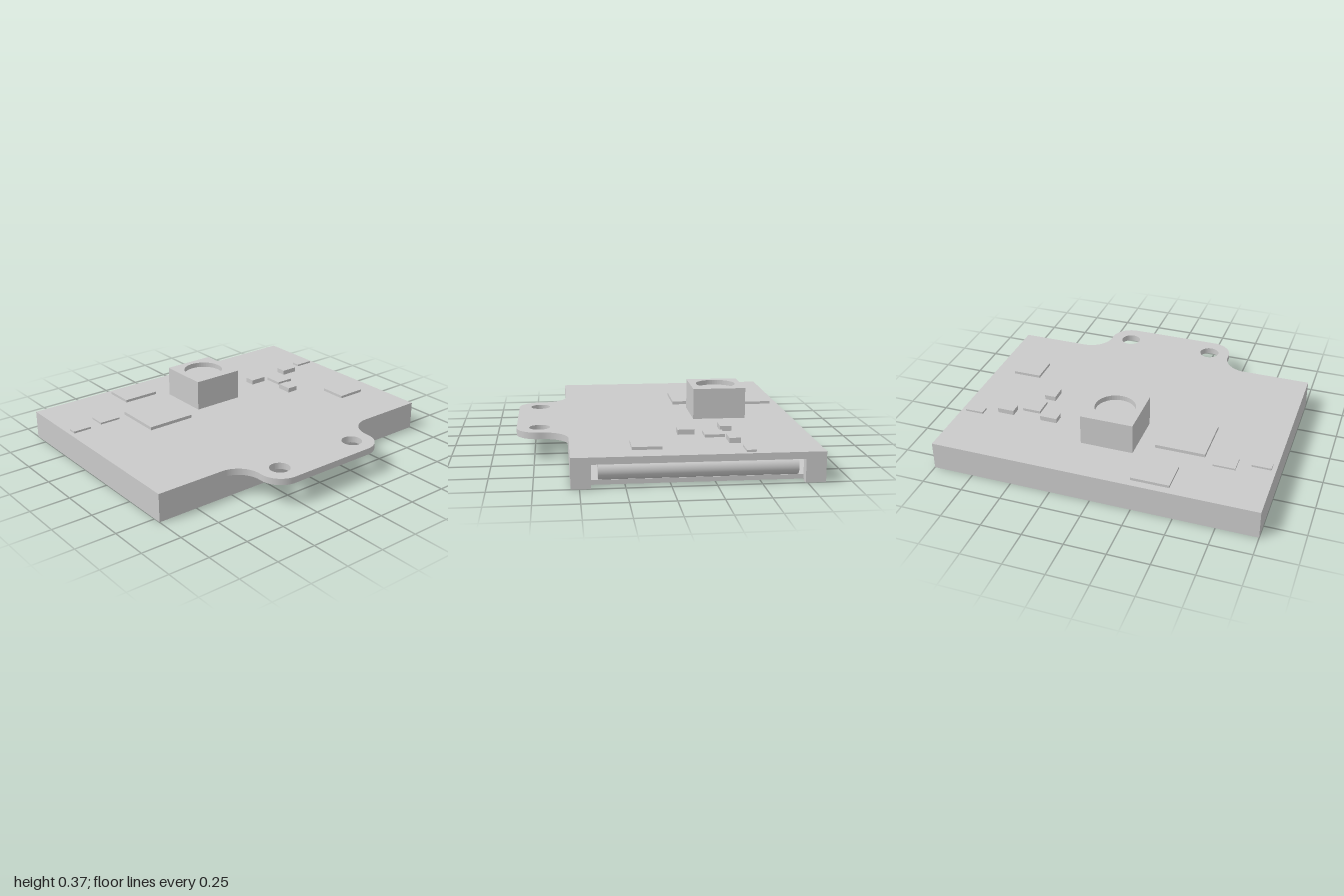
import * as THREE from 'three';

export function createModel() {
  const model = new THREE.Group();
  model.name = 'circuitBoardModule';
  const grey = new THREE.MeshStandardMaterial({ color: 0xcacaca });
  grey.name = 'plain grey';

  const add = (name, geometry) => {
    const mesh = new THREE.Mesh(geometry, grey);
    mesh.name = name;
    model.add(mesh);
    return mesh;
  };
  // box given by its limits on each axis
  const block = (name, x0, x1, y0, y1, z0, z1) =>
    add(name, new THREE.BoxGeometry(x1 - x0, y1 - y0, z1 - z0))
      .position.set((x0 + x1) / 2, (y0 + y1) / 2, (z0 + z1) / 2);
  // plan shape drawn in (x, z), extruded from y0 up to y1
  const slab = (name, shape, y0, y1) => {
    const g = new THREE.ExtrudeGeometry(shape, { depth: y1 - y0, bevelEnabled: false, curveSegments: 24 });
    g.rotateX(Math.PI / 2);
    g.translate(0, y1, 0);
    return add(name, g);
  };
  const circle = (x, z, r) => new THREE.Path().absarc(x, z, r, 0, Math.PI * 2, true);

  const TOP = 0.175, ROOF = 0.135, BACK = -0.854, FRONT = 0.548;

  // top plate with the rounded mounting tab
  const plate = new THREE.Shape();
  plate.moveTo(-1, BACK);
  plate.lineTo(1, BACK);
  plate.lineTo(1, FRONT);
  plate.lineTo(0.57, FRONT);
  plate.absarc(0.57, FRONT + 0.15, 0.15, -Math.PI / 2, -Math.PI, true);
  plate.lineTo(0.42, 0.719);
  plate.absarc(0.285, 0.719, 0.135, 0, Math.PI / 2, false);
  plate.lineTo(-0.285, 0.854);
  plate.absarc(-0.285, 0.719, 0.135, Math.PI / 2, Math.PI, false);
  plate.lineTo(-0.42, FRONT + 0.15);
  plate.absarc(-0.57, FRONT + 0.15, 0.15, 0, -Math.PI / 2, true);
  plate.lineTo(-1, FRONT);
  plate.closePath();
  for (const s of [-1, 1]) plate.holes.push(circle(s * 0.285, 0.717, 0.062));
  slab('topPlate', plate, ROOF, TOP);

  // thin frame below the plate, open on the left side
  const frame = new THREE.Shape([
    [1, BACK], [1, -0.74], [0.945, -0.74], [0.945, -0.832], [-0.978, -0.832], [-0.978, 0.526],
    [0.945, 0.526], [0.945, 0.437], [1, 0.437], [1, FRONT], [-1, FRONT], [-1, BACK],
  ].map(([x, z]) => new THREE.Vector2(x, z)));
  slab('sideFrame', frame, 0, ROOF);

  // display set almost flush in the frame, with its folded edge resting on it
  block('displayPanel', -0.965, 0.932, 0.003, 0.03, -0.819, 0.513);
  const fold = new THREE.CylinderGeometry(0.0525, 0.0525, 1.107, 40);
  fold.rotateX(Math.PI / 2);
  add('displayFold', fold).position.set(0.92, 0.0825, -0.156);

  // camera housing with a round recess holding the lens
  const H = 0.163, CZ = -0.397;
  const ring = new THREE.Shape([[-H, CZ - H], [H, CZ - H], [H, CZ + H], [-H, CZ + H]]
    .map(([x, z]) => new THREE.Vector2(x, z)));
  ring.holes.push(circle(0, CZ, 0.124));
  block('cameraHousing', -H, H, TOP, 0.325, CZ - H, CZ + H);
  slab('cameraRim', ring, 0.325, 0.365);
  add('cameraLens', new THREE.CylinderGeometry(0.122, 0.122, 0.01, 48)).position.set(0, 0.33, CZ);

  // chips: x0, x1, z0, z1, top height
  const chips = [
    [-0.465, -0.232, -0.807, -0.62, 0.192],
    [-0.578, -0.271, -0.464, -0.158, 0.195],
    [-0.775, -0.641, -0.53, -0.424, 0.186],
    [-0.972, -0.854, -0.464, -0.411, 0.187],
    [0.38, 0.488, -0.416, -0.348, 0.205],
    [0.518, 0.632, -0.352, -0.235, 0.192],
    [0.482, 0.553, -0.187, -0.087, 0.205],
    [0.667, 0.772, -0.419, -0.353, 0.205],
    [0.855, 0.971, -0.469, -0.415, 0.187],
    [0.69, 0.869, 0.038, 0.207, 0.192],
  ];
  chips.forEach(([x0, x1, z0, z1, y], i) => block('chip' + (i + 1), x0, x1, TOP, y, z0, z1));

  return model;
}
